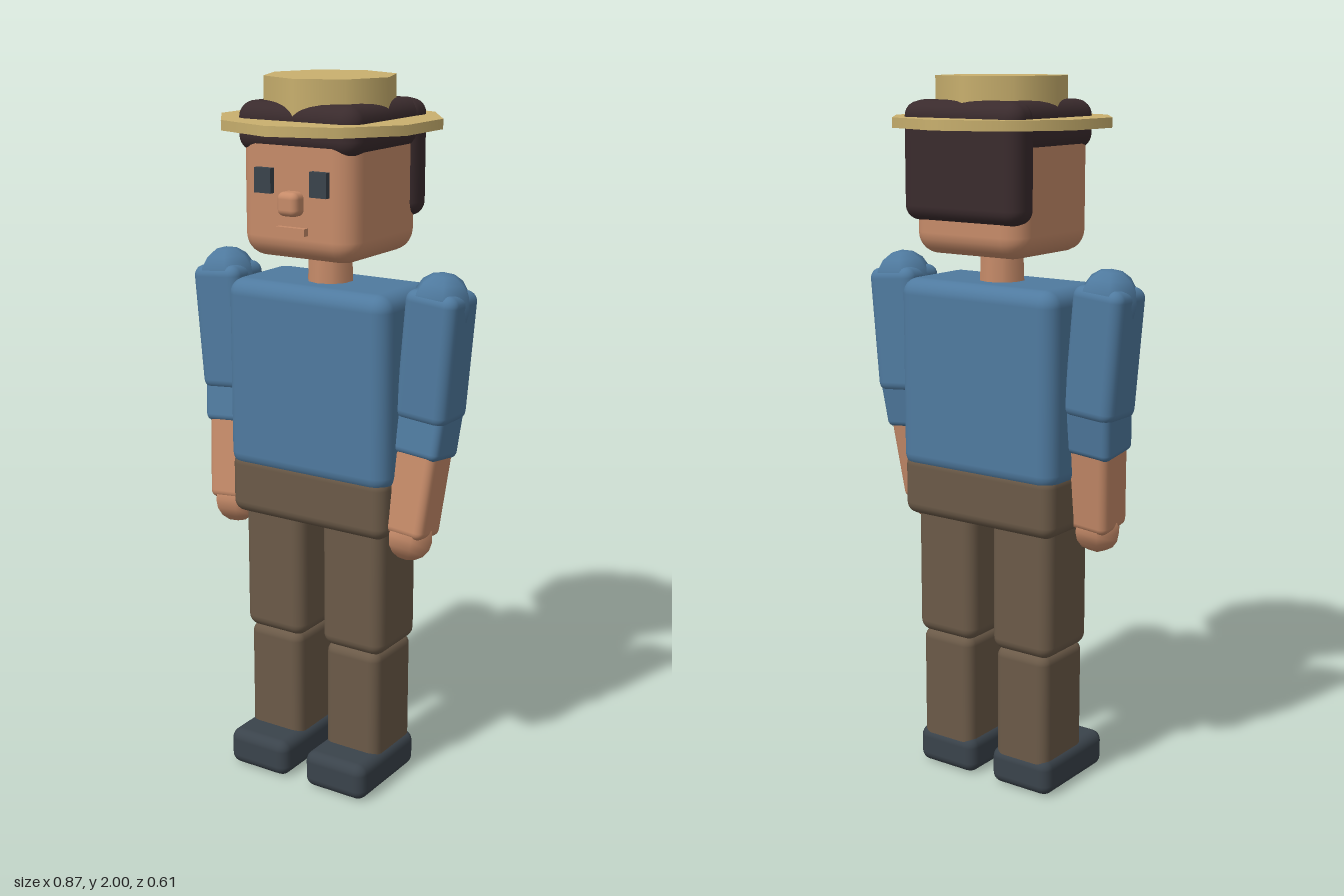
import * as THREE from 'three';
import { RoundedBoxGeometry } from 'three/addons/geometries/RoundedBoxGeometry.js';

const mat = (name, color) => {
  const m = new THREE.MeshStandardMaterial({ color });
  m.name = name;
  return m;
};

export function createModel() {
  const shirt = mat('shirt blue', 0x4f7a9f);
  const trousers = mat('trouser brown', 0x6b5a48);
  const skin = mat('skin', 0xc68b69);
  const hair = mat('hair dark brown', 0x3a2b2d);
  const dark = mat('shoe and eye charcoal', 0x3a434b);
  const straw = mat('straw', 0xc9b06e);

  const model = new THREE.Group();
  model.name = 'figure';

  const add = (parent, name, geometry, material, x, y, z) => {
    const mesh = new THREE.Mesh(geometry, material);
    mesh.name = name;
    mesh.position.set(x, y, z);
    parent.add(mesh);
    return mesh;
  };
  // Rounded block: size, corner radius, centre
  const block = (parent, name, material, [w, h, d], r, [x, y, z]) =>
    add(parent, name, new RoundedBoxGeometry(w, h, d, 3, r), material, x, y, z);

  // Trunk
  block(model, 'torso', shirt, [0.52, 0.545, 0.28], 0.045, [0, 1.178, 0]);
  block(model, 'pelvis', trousers, [0.51, 0.18, 0.27], 0.035, [0, 0.86, 0]);
  add(model, 'neck', new THREE.CylinderGeometry(0.06, 0.065, 0.14, 10), skin, 0, 1.49, 0);

  // Head and face
  block(model, 'head', skin, [0.36, 0.37, 0.356], 0.06, [0, 1.712, 0]);
  block(model, 'nose', skin, [0.064, 0.064, 0.06], 0.018, [0, 1.682, 0.186]);
  add(model, 'mouth', new THREE.BoxGeometry(0.09, 0.02, 0.03), skin, 0, 1.61, 0.18);
  for (const s of [1, -1]) {
    add(model, s > 0 ? 'leftEye' : 'rightEye',
      new THREE.BoxGeometry(0.052, 0.066, 0.03), dark, s * 0.087, 1.737, 0.18);
  }

  // Hair
  block(model, 'hairTop', hair, [0.38, 0.135, 0.384], 0.045, [0, 1.87, -0.01]);
  block(model, 'hairBack', hair, [0.385, 0.315, 0.1], 0.04, [0, 1.777, -0.154]);

  // Hat
  add(model, 'hatBrim', new THREE.CylinderGeometry(0.305, 0.305, 0.027, 10), straw, 0, 1.879, 0);
  add(model, 'hatCrown', new THREE.CylinderGeometry(0.18, 0.18, 0.13, 8), straw, 0, 1.935, 0);

  for (const s of [1, -1]) {
    const side = s > 0 ? 'left' : 'right';

    // Leg
    const leg = new THREE.Group();
    leg.name = side + 'Leg';
    leg.position.x = s * 0.131;
    model.add(leg);
    block(leg, 'thigh', trousers, [0.2, 0.41, 0.21], 0.035, [0, 0.615, 0]);
    block(leg, 'shin', trousers, [0.176, 0.36, 0.2], 0.03, [0, 0.24, 0]);
    block(leg, 'shoe', dark, [0.2, 0.108, 0.3], 0.03, [0, 0.054, 0.045]);

    // Arm hangs from the shoulder, leaning inward
    const arm = new THREE.Group();
    arm.name = side + 'Arm';
    arm.position.set(s * 0.347, 1.422, 0);
    arm.rotation.z = -s * 0.085;
    model.add(arm);
    add(arm, 'shoulder', new THREE.SphereGeometry(0.086, 6, 8), shirt, 0, 0, 0);
    block(arm, 'upperArm', shirt, [0.156, 0.36, 0.15], 0.03, [0, -0.14, 0]);

    // Forearm swings slightly forward from the elbow
    const forearm = new THREE.Group();
    forearm.name = 'forearm';
    forearm.position.y = -0.305;
    forearm.rotation.x = -0.14;
    arm.add(forearm);
    block(forearm, 'sleeveCuff', shirt, [0.142, 0.17, 0.134], 0.02, [0, -0.03, 0]);
    block(forearm, 'lowerArm', skin, [0.122, 0.28, 0.122], 0.022, [0, -0.2, 0]);
    add(forearm, 'hand', new THREE.SphereGeometry(0.069, 6, 8), skin, 0, -0.344, 0);
  }

  return model;
}
